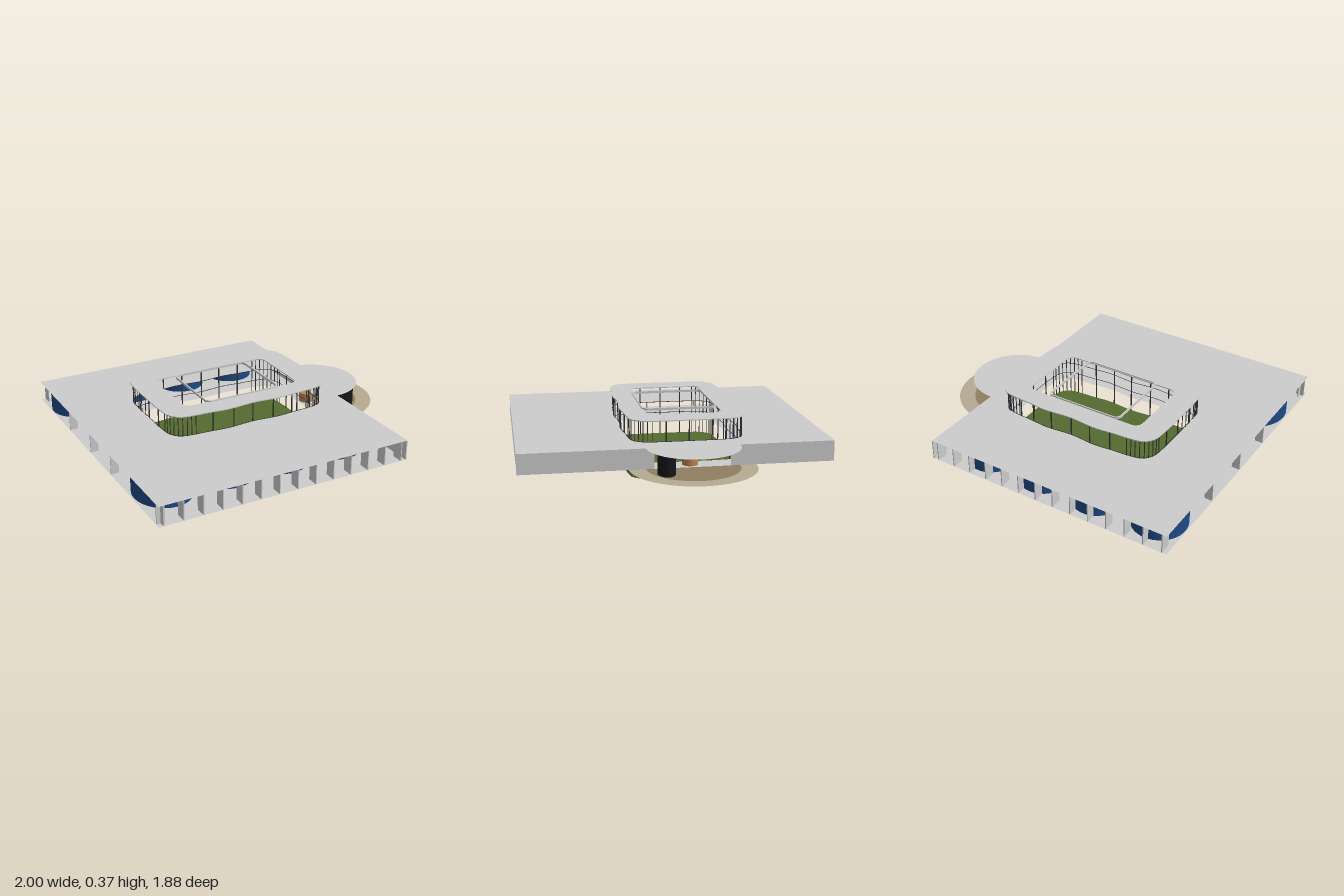
import * as THREE from 'three';

const FLOOR = 0.1, ROOF = 0.225, TOP = 0.355;
const mat = (color) => new THREE.MeshStandardMaterial({ color, side: THREE.DoubleSide });
const grey = mat(0xcccccc), blue = mat(0x1f4a85), green = mat(0x556b2f), dark = mat(0x333336),
  black = mat(0x15151a), tan = mat(0xb5ab93), brown = mat(0x8f7f5f), orange = mat(0xb98452);

// Plan shapes use x and -z, so that turning them flat gives x and z.
const flat = (geo, y) => geo.rotateX(-Math.PI / 2).translate(0, y, 0);

function roundedRect(x0, x1, z0, z1, r, Type = THREE.Shape) {
  const s = new Type();
  const a = -z1, b = -z0;
  s.absarc(x1 - r, a + r, r, -Math.PI / 2, 0);
  s.absarc(x1 - r, b - r, r, 0, Math.PI / 2);
  s.absarc(x0 + r, b - r, r, Math.PI / 2, Math.PI);
  s.absarc(x0 + r, a + r, r, Math.PI, Math.PI * 1.5);
  s.closePath();
  return s;
}

// Gently waving outline of the courtyard, centred on (-0.053, -0.085)
const half = [[0.55, 0], [0.548, 0.19], [0.535, 0.285], [0.49, 0.338], [0.41, 0.355],
  [0.3, 0.362], [0.18, 0.373], [0, 0.36]];
function courtPoints(scale, n) {
  const q = half.slice(1, -1);
  const pts = [
    ...half,
    ...q.slice().reverse().map(([x, z]) => [-x, z]),
    [-half[0][0], 0],
    ...q.map(([x, z]) => [-x, -z]),
    [0, -0.36],
    ...q.slice().reverse().map(([x, z]) => [x, -z]),
  ].map(([x, z]) => new THREE.Vector3(x * scale - 0.053, 0, z * scale - 0.085));
  return new THREE.CatmullRomCurve3(pts, true).getSpacedPoints(n).slice(0, n);
}
const toPlan = (pts) => pts.map((p) => new THREE.Vector2(p.x, -p.z));

export function createModel() {
  const model = new THREE.Group();
  const add = (name, geo, material, parent = model) => {
    const m = new THREE.Mesh(geo, material);
    m.name = name;
    parent.add(m);
    return m;
  };
  const group = (name) => {
    const g = new THREE.Group();
    g.name = name;
    model.add(g);
    return g;
  };
  const box = (name, w, h, d, x, y, z, material, parent) =>
    add(name, new THREE.BoxGeometry(w, h, d).translate(x, y, z), material, parent);

  // Floor and roof sheets with the courtyard cut out; the roof has a round porch
  const court = toPlan(courtPoints(0.985, 120));
  const sheet = (porch) => {
    const s = new THREE.Shape();
    s.moveTo(-1, -0.94);
    s.lineTo(0.615, -0.94);
    if (porch) s.absarc(0.615, 0.085, 0.28, -Math.PI / 2, Math.PI / 2);
    s.lineTo(0.615, 0.94);
    s.lineTo(-1, 0.94);
    s.holes.push(new THREE.Path(court));
    return new THREE.ShapeGeometry(s, 32);
  };
  add('floorSlab', flat(sheet(false), FLOOR), grey);
  add('mainRoof', flat(sheet(true), ROOF), grey);

  // Lawn at the bottom of the courtyard
  add('lawn', flat(new THREE.ShapeGeometry(new THREE.Shape(court)), 0.001), green);

  // Entrance terrace
  const terrace = (name, r, y, material) => add(name,
    flat(new THREE.CircleGeometry(r, 48, -Math.PI / 2, Math.PI), 0).translate(0.615, y, -0.085), material);
  const outer = new THREE.RingGeometry(0.28, 0.38, 48, 1, -Math.PI / 2, Math.PI);
  add('terraceRim', flat(outer, 0).translate(0.615, FLOOR, -0.085), tan);
  terrace('terraceFloor', 0.28, FLOOR, brown);
  const kiosk = add('entranceKiosk', new THREE.CylinderGeometry(1, 1, 0.12, 32), black);
  kiosk.scale.set(0.08, 1, 0.052);
  kiosk.position.set(0.72, 0.16, 0.092);
  add('receptionCounter', new THREE.CylinderGeometry(0.047, 0.047, 0.06, 24)
    .translate(0.55, FLOOR + 0.03, -0.078), orange);

  // Solid walls on either side of the entrance
  const midY = (FLOOR + ROOF) / 2, height = ROOF - FLOOR;
  for (const [z0, z1] of [[-0.94, -0.31], [0.145, 0.94]])
    box('entranceWall', 0.006, height, z1 - z0, 0.612, midY, (z0 + z1) / 2, grey);

  // Sun fins along the front and back, with a few on the left-hand open end
  const fins = group('fins');
  for (let i = 0; i < 14; i++)
    for (const side of [-1, 1])
      box('fin', 0.006, height, 0.07, -0.97 + i * 0.119, midY, side * 0.903, grey, fins);
  for (const z of [-0.4, -0.05, 0.27, 0.9])
    box('endFin', 0.05, height, 0.006, -0.972, midY, z, grey, fins);

  // Round rooms in two rows
  const rooms = group('roundRooms');
  const room = (x, z, rx, rz) => {
    const m = add('roundRoom', new THREE.CylinderGeometry(1, 1, height - 0.002, 40), blue, rooms);
    m.scale.set(rx, 1, rz);
    m.position.set(x, midY, z);
  };
  for (const x of [-0.423, -0.054, 0.323]) {
    room(x, 0.61, 0.153, 0.153);
    room(x - 0.01, -0.74, 0.153, 0.153);
  }
  room(-0.818, 0.59, 0.173, 0.2);
  room(-0.83, -0.715, 0.165, 0.17);

  // Courtyard mullions: tight at the rounded corners, wide on the straights
  const mullions = group('mullions');
  courtPoints(0.975, 120).forEach((p, i) => {
    const dx = Math.abs(p.x + 0.053), dz = Math.abs(p.z + 0.085);
    const corner = dx > 0.38 && dz > 0.2;
    if (!corner && i % 5) return;
    const w = corner ? 0.004 : 0.006;
    box('mullion', w, TOP, w, p.x, TOP / 2, p.z, dark, mullions);
  });
  const railPath = new THREE.CatmullRomCurve3(courtPoints(0.975, 60), true);
  for (const y of [0.15, ROOF])
    add('rail', new THREE.TubeGeometry(railPath, 120, 0.002, 4, true).translate(0, y, 0), dark, mullions);

  // Raised canopy ring over the courtyard
  const ring = new THREE.Shape(toPlan(courtPoints(1.005, 120)));
  ring.holes.push(roundedRect(-0.45, 0.34, -0.317, 0.143, 0.05, THREE.Path));
  add('canopyRing', flat(new THREE.ExtrudeGeometry(ring, { depth: 0.006, bevelEnabled: false }), TOP - 0.003), grey);

  // Slim frame crossing the canopy opening
  const frame = roundedRect(-0.308, 0.2, -0.315, 0.155, 0.04);
  frame.holes.push(roundedRect(-0.3, 0.192, -0.307, 0.147, 0.034, THREE.Path));
  add('canopyFrame', flat(new THREE.ExtrudeGeometry(frame, { depth: 0.014, bevelEnabled: false }), TOP - 0.004), grey);

  return model;
}
